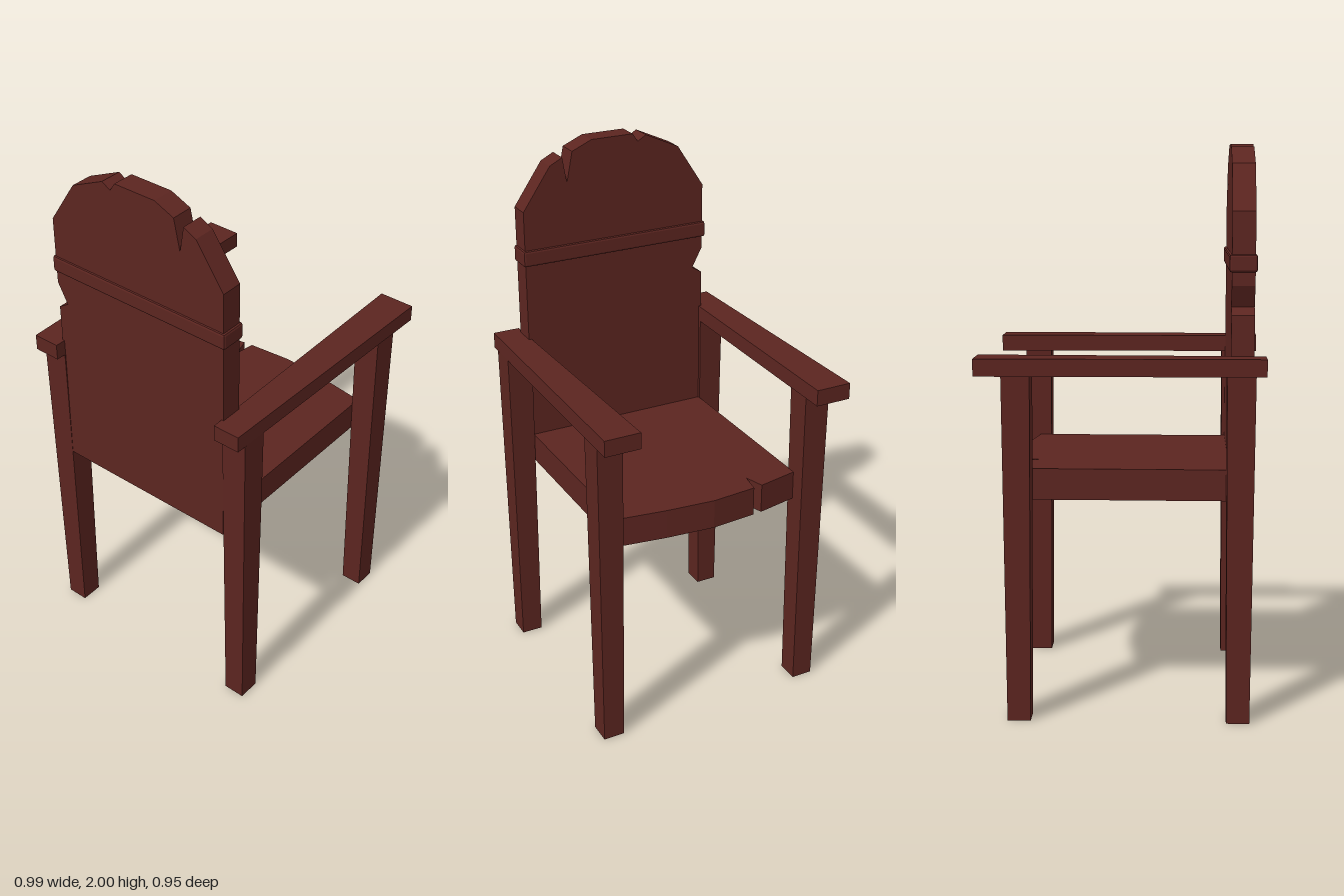
import * as THREE from 'three';
import { RoundedBoxGeometry } from 'three/addons/geometries/RoundedBoxGeometry.js';

const wood = new THREE.MeshStandardMaterial({ color: 0x5c2520, flatShading: true });

const extrude = (points, depth) => new THREE.ExtrudeGeometry(
  new THREE.Shape(points.map(([a, b]) => new THREE.Vector2(a, b))),
  { depth, bevelEnabled: false });

// Horizontal board from an (x, z) outline, hanging down from its top height
const board = (points, top, thickness) =>
  extrude(points, thickness).rotateX(Math.PI / 2).translate(0, top, 0);

export function createModel() {
  const chair = new THREE.Group();
  chair.name = 'armchair';
  const add = (name, geometry) => {
    const mesh = new THREE.Mesh(geometry, wood);
    mesh.name = name;
    chair.add(mesh);
    return mesh;
  };

  // Square legs, slightly narrower at the floor
  const legHeight = 1.22;
  for (const [end, x] of [['back', -0.41], ['front', 0.355]]) {
    for (const [side, z] of [['Right', 0.408], ['Left', -0.404]]) {
      const leg = new THREE.BoxGeometry(0.098, legHeight, 0.096);
      const p = leg.attributes.position;
      for (let i = 0; i < p.count; i++) {
        if (p.getY(i) < 0) p.setXYZ(i, p.getX(i) * 0.83, p.getY(i), p.getZ(i) * 0.83);
      }
      leg.computeVertexNormals();
      add(`${end}${side}Leg`, leg).position.set(x, legHeight / 2, z);
    }
  }

  // Armrests widening toward the front
  add('rightArmrest', board(
    [[-0.495, 0.355], [0.495, 0.338], [0.495, 0.471], [-0.495, 0.455]], 1.28, 0.06));
  add('leftArmrest', board(
    [[-0.495, -0.458], [0.495, -0.475], [0.495, -0.342], [-0.495, -0.357]], 1.28, 0.06));

  // Seat with a bowed, chipped front edge
  add('seat', board([
    [-0.455, -0.36], [0.342, -0.36], [0.374, -0.205], [0.3, -0.183], [0.378, -0.171],
    [0.392, 0], [0.376, 0.18], [0.35, 0.36], [-0.455, 0.36],
  ], 0.885, 0.11));

  // Arched backrest with splits and a chipped side, outlined in (z, y)
  add('backrest', extrude([
    [0.363, 0.885], [0.363, 1.77], [0.255, 1.925], [0.206, 1.95], [0.19, 1.855],
    [0.167, 1.967], [0.09, 2], [-0.075, 2], [-0.095, 1.97], [-0.128, 1.99],
    [-0.26, 1.93], [-0.365, 1.77], [-0.365, 1.52], [-0.325, 1.445], [-0.365, 1.42],
    [-0.365, 0.885],
  ], 0.08).rotateY(-Math.PI / 2).translate(-0.375, 0, 0));

  // Raised band around the backrest
  add('backrestBand', new RoundedBoxGeometry(0.096, 0.06, 0.746, 1, 0.008))
    .position.set(-0.414, 1.595, -0.002);

  return chair;
}
